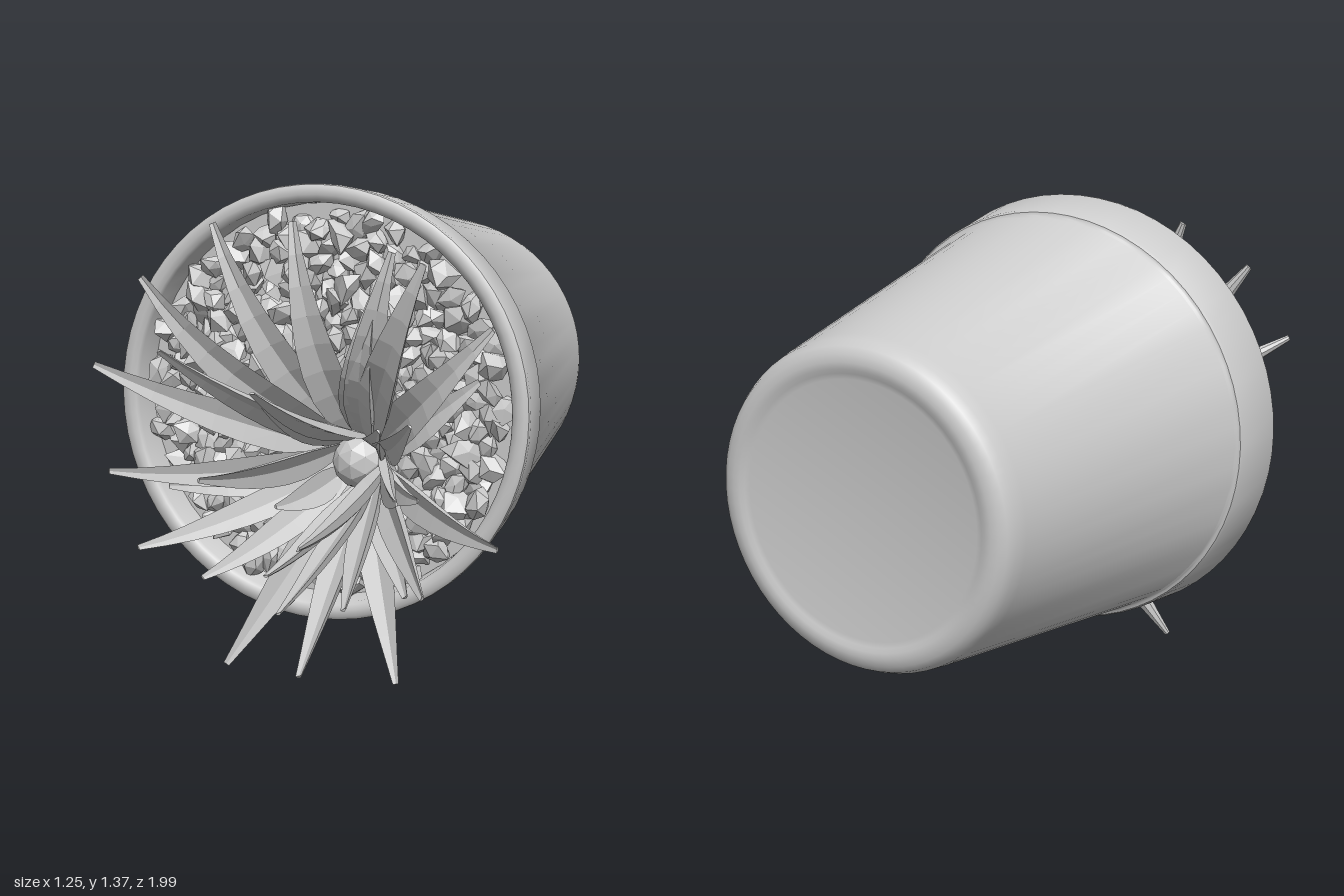
import * as THREE from 'three';
import { toCreasedNormals } from 'three/addons/utils/BufferGeometryUtils.js';

const CY = 0.755; // height of the pot's axis, which lies along z

let seed = 7;
function rand() {
  seed = (seed * 16807) % 2147483647;
  return seed / 2147483647;
}
const V = (x, y, z) => new THREE.Vector3(x, y, z);

// Pot: one closed profile (radius, z), base to rim and back down inside
function makePot(material) {
  const profile = [
    [0, -0.99], [0.345, -0.99], [0.36, -0.993], [0.372, -0.999], [0.39, -1],
    [0.41, -0.996], [0.428, -0.984], [0.44, -0.96], [0.447, -0.925], [0.586, -0.028],
    [0.592, -0.022], [0.6, -0.02], [0.605, -0.012], [0.625, 0.14], [0.623, 0.152],
    [0.613, 0.16], [0.595, 0.16], [0.58, 0.155], [0.573, 0.145], [0.565, 0.02],
  ].map(([r, z]) => new THREE.Vector2(r, z));
  const geometry = toCreasedNormals(new THREE.LatheGeometry(profile, 64), 0.7);
  geometry.rotateX(Math.PI / 2);
  const pot = new THREE.Mesh(geometry, material);
  pot.name = 'pot';
  pot.position.y = CY;
  return pot;
}

// One angular stone: an icosahedron whose shared corners are pushed about
function stoneGeometry() {
  const g = new THREE.IcosahedronGeometry(1, 0);
  const p = g.attributes.position;
  const moved = new Map();
  for (let i = 0; i < p.count; i++) {
    const v = V().fromBufferAttribute(p, i);
    const key = v.toArray().map((n) => Math.round(n * 100)).join();
    if (!moved.has(key)) moved.set(key, 0.5 + 0.7 * rand());
    v.multiplyScalar(moved.get(key));
    p.setXYZ(i, v.x, v.y, v.z);
  }
  g.computeVertexNormals();
  return g;
}

// Gravel: stones packed on a sunflower spiral over a soil disc
function makeGravel(material) {
  const gravel = new THREE.Group();
  gravel.name = 'gravel';
  const soil = new THREE.Mesh(new THREE.CircleGeometry(0.567, 48), material);
  soil.name = 'soil';
  soil.position.set(0, CY, 0.06);
  gravel.add(soil);
  const shapes = Array.from({ length: 10 }, stoneGeometry);
  const count = 300;
  for (let i = 0; i < count; i++) {
    const r = 0.54 * Math.sqrt((i + 0.5) / count);
    const a = i * 2.39996;
    const stone = new THREE.Mesh(shapes[i % shapes.length], material);
    stone.name = 'stone';
    const s = 0.042 + 0.018 * rand();
    stone.scale.set(s * 1.1, s, s * 0.75);
    stone.rotation.set(rand() * 6, rand() * 6, rand() * 6);
    stone.position.set(r * Math.cos(a), CY + r * Math.sin(a), 0.06 + 0.04 * rand());
    gravel.add(stone);
  }
  return gravel;
}

// Leaf: a channelled crescent section swept along a curve, tapering to the tip
const SECTION = [[1, 0.35], [0, 0.05], [-1, 0.35], [-0.7, -0.25], [0, -0.55], [0.7, -0.25]];
const TAPER = [0.5, 0.8, 1, 1, 0.9, 0.74, 0.55, 0.36, 0.18];

function leafGeometry(base, bend, tip, width, roll) {
  const curve = new THREE.QuadraticBezierCurve3(base, bend, tip);
  const flatSide = V(base.y - tip.y, tip.x - base.x, 0).normalize();
  const n = SECTION.length;
  const rings = TAPER.length;
  const pos = [];
  const index = [];
  TAPER.forEach((k, j) => {
    const t = j / (rings - 1);
    const c = curve.getPoint(t);
    const tangent = curve.getTangent(t);
    const side = flatSide.clone().applyAxisAngle(tangent, roll);
    const up = V().crossVectors(tangent, side).normalize();
    const w = width * k;
    for (const [a, b] of SECTION) {
      const q = c.clone().addScaledVector(side, a * w).addScaledVector(up, b * w);
      pos.push(q.x, q.y, q.z);
    }
  });
  for (let j = 0; j < rings - 1; j++) {
    for (let i = 0; i < n; i++) {
      const a = j * n + i;
      const b = j * n + ((i + 1) % n);
      index.push(a, b, a + n, b, b + n, a + n);
    }
  }
  const last = (rings - 1) * n;
  for (let i = 1; i < n - 1; i++) index.push(last, last + i, last + i + 1);
  const g = new THREE.BufferGeometry();
  g.setAttribute('position', new THREE.Float32BufferAttribute(pos, 3));
  g.setIndex(index);
  const flat = g.toNonIndexed();
  flat.computeVertexNormals();
  return flat;
}

// Leaves by group: tips, half width, forward bulge, and sag before turning up
const HEART = V(0.12, 0.6, 0.13);
const UPPER = [
  [-0.22, 1.28, 0.37], [0.01, 1.29, 0.35], [0.31, 1.22, 0.38], [0.43, 1.2, 0.46],
  [-0.37, 1.14, 0.51], [0.6, 1.03, 0.4], [0.25, 1.1, 0.36],
];
const SIDE = [
  [-0.46, 0.91, 0.62], [-0.42, 0.51, 0.26], [0.62, 0.445, 0.4], [0.5, 0.86, 0.21],
];
const FORWARD = [
  [-0.37, 0.64, 0.71], [-0.28, 0.44, 0.72], [0.51, 0.83, 0.77], [0.54, 0.67, 0.94],
  [-0.19, 0.98, 0.76], [0.14, 0.91, 0.9], [-0.03, 0.67, 0.86], [0.29, 0.54, 0.96],
  [0.25, 0.38, 0.99], [0.37, 0.37, 0.86], [0.13, 0.42, 0.8], [-0.1, 0.37, 0.7],
];
const INNER = [
  [0.38, 0.55, 0.36], [0, 0.52, 0.45], [0.32, 0.76, 0.5], [-0.02, 0.8, 0.48],
];
const LOWER = [
  [-0.22, 0.015, 0.31], [0.3, 0.015, 0.31], [0.19, 0.14, 0.73],
  [0.46, 0.33, 0.54], [0.36, 0.29, 0.4],
];

function makePlant(material) {
  const plant = new THREE.Group();
  plant.name = 'plant';
  const addLeaves = (tips, width, bulge, sag) => {
    for (const [x, y, z] of tips) {
      const tip = V(x, y, z);
      const out = V(x - HEART.x, y - HEART.y, 0);
      const base = HEART.clone().addScaledVector(out, Math.min(1, 0.07 / out.length()));
      const bend = base.clone().lerp(tip, 0.5);
      bend.z += bulge;
      bend.y -= sag;
      const roll = 0.7 * (rand() - 0.5);
      const leaf = new THREE.Mesh(leafGeometry(base, bend, tip, width, roll), material);
      leaf.name = 'leaf';
      plant.add(leaf);
    }
  };
  addLeaves(UPPER, 0.057, 0.16, 0.05);
  addLeaves(SIDE, 0.05, 0.06, 0.03);
  addLeaves(FORWARD, 0.043, 0.03, 0.045);
  addLeaves(INNER, 0.043, 0.04, 0.03);
  addLeaves(LOWER, 0.05, 0, 0.015);
  // short faceted stem the leaves grow from
  const stem = new THREE.Mesh(new THREE.IcosahedronGeometry(0.08, 1), material);
  stem.name = 'stem';
  stem.position.copy(HEART);
  plant.add(stem);
  return plant;
}

export function createModel() {
  const smooth = new THREE.MeshStandardMaterial({ color: 0xcccccc });
  const faceted = new THREE.MeshStandardMaterial({
    color: 0xcccccc, flatShading: true, side: THREE.DoubleSide,
  });
  const model = new THREE.Group();
  model.name = 'pottedPlant';
  model.add(makePot(smooth), makeGravel(faceted), makePlant(faceted));
  return model;
}
